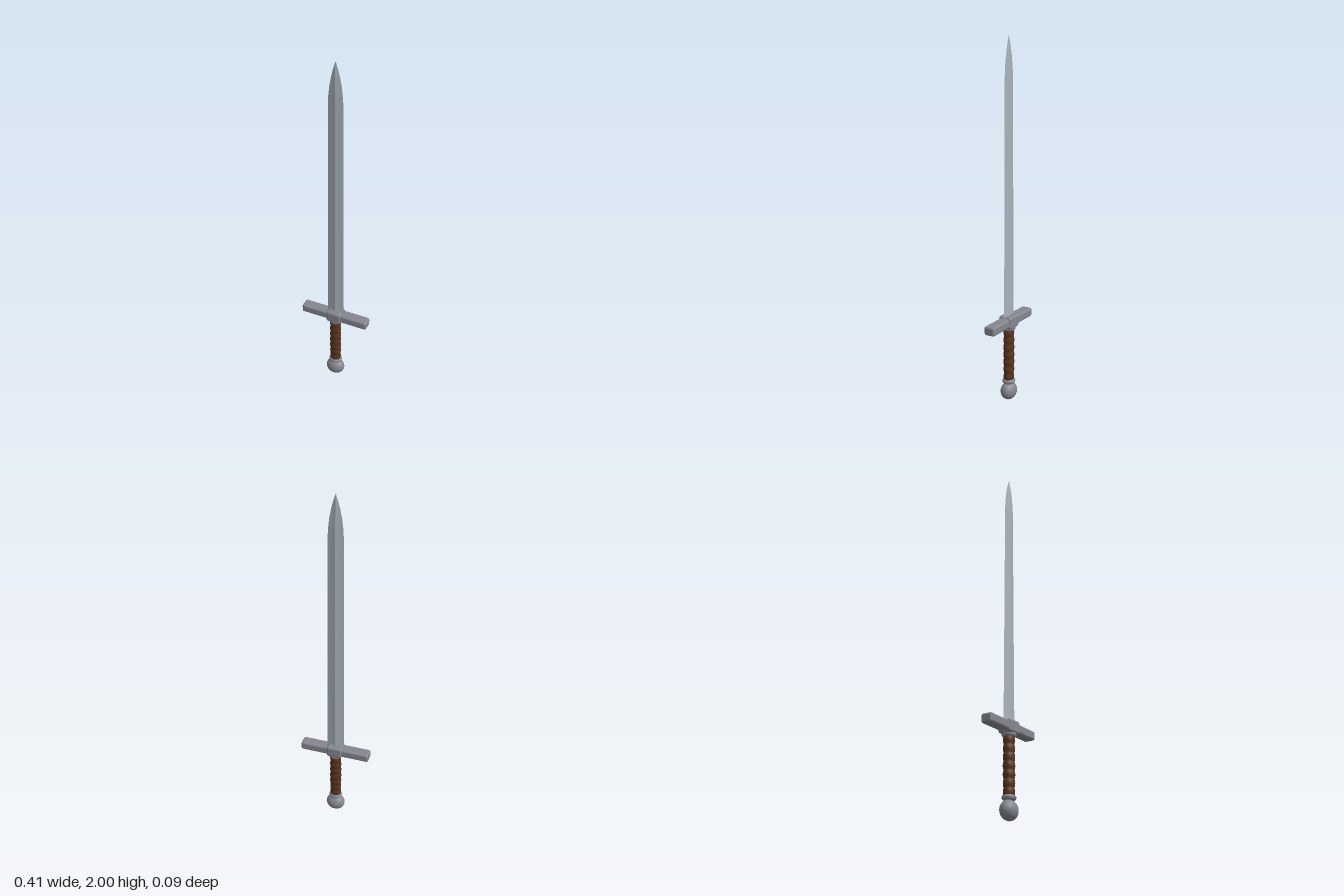
import * as THREE from 'three';
import { RoundedBoxGeometry } from 'three/addons/geometries/RoundedBoxGeometry.js';

const mat = (color, flatShading = false) => new THREE.MeshStandardMaterial({ color, flatShading });

// Hollow-ground diamond section swept up the blade and drawn in to the point
function bladeGeometry() {
  const levels = [ // y, half width, half thickness
    [0.48, 0.050, 0.010], [1.15, 0.045, 0.0095], [1.78, 0.041, 0.009], [1.83, 0.038, 0.0085],
    [1.88, 0.032, 0.0075], [1.93, 0.022, 0.006], [1.97, 0.011, 0.004], [2.0, 0.0005, 0.0005],
  ];
  const section = [[1, 0], [0.5, 0.4], [0, 1], [-0.5, 0.4], [-1, 0], [-0.5, -0.4], [0, -1], [0.5, -0.4]];
  const n = section.length;
  const pos = [], index = [];
  for (const [y, w, t] of levels) for (const [x, z] of section) pos.push(x * w, y, z * t);
  for (let i = 0; i < levels.length - 1; i++) {
    for (let j = 0; j < n; j++) {
      const a = i * n + j, b = i * n + (j + 1) % n;
      index.push(a, a + n, b + n, a, b + n, b);
    }
  }
  const g = new THREE.BufferGeometry();
  g.setAttribute('position', new THREE.Float32BufferAttribute(pos, 3));
  g.setIndex(index);
  g.computeVertexNormals();
  return g;
}

// Oval turned part: profile of [radius, y], flattened front to back
function ovalLathe(profile, depth) {
  const g = new THREE.LatheGeometry(profile.map(([r, y]) => new THREE.Vector2(r, y)), 32);
  return g.scale(1, 1, depth);
}

export function createModel() {
  const model = new THREE.Group();
  const steel = mat(0x85868f);
  const add = (name, geometry, material, y = 0) => {
    const mesh = new THREE.Mesh(geometry, material);
    mesh.name = name;
    mesh.position.y = y;
    model.add(mesh);
    return mesh;
  };

  add('blade', bladeGeometry(), mat(0xa9b3ba, true));

  // Cross guard with a heavier centre block and a collar beneath it
  add('crossGuard', new RoundedBoxGeometry(0.406, 0.05, 0.064, 3, 0.012), steel, 0.465);
  add('guardBlock', new RoundedBoxGeometry(0.092, 0.07, 0.08, 3, 0.014), steel, 0.465);
  add('guardCollar', ovalLathe([
    [0, 0.416], [0.035, 0.416], [0.039, 0.421], [0.04, 0.428], [0.039, 0.436], [0, 0.44],
  ], 0.92), steel);

  // Grip with rounded leather ribs
  const ribs = 7, low = 0.115, high = 0.42, profile = [];
  for (let i = 0; i <= ribs * 8; i++) {
    const t = i / (ribs * 8);
    const swell = 0.0015 * Math.sin(Math.PI * t);
    const rib = 0.004 * Math.abs(Math.sin(Math.PI * t * ribs));
    profile.push([0.0285 + swell + rib, low + (high - low) * t]);
  }
  add('grip', ovalLathe(profile, 0.88), mat(0x5a3420));

  // Pommel ring and pommel
  const ring = new THREE.TorusGeometry(0.026, 0.013, 12, 32).rotateX(Math.PI / 2).scale(1, 1, 0.92);
  add('pommelRing', ring, steel, 0.111);
  add('pommel', new THREE.SphereGeometry(1, 32, 20).scale(0.056, 0.051, 0.043), steel, 0.051);

  return model;
}
